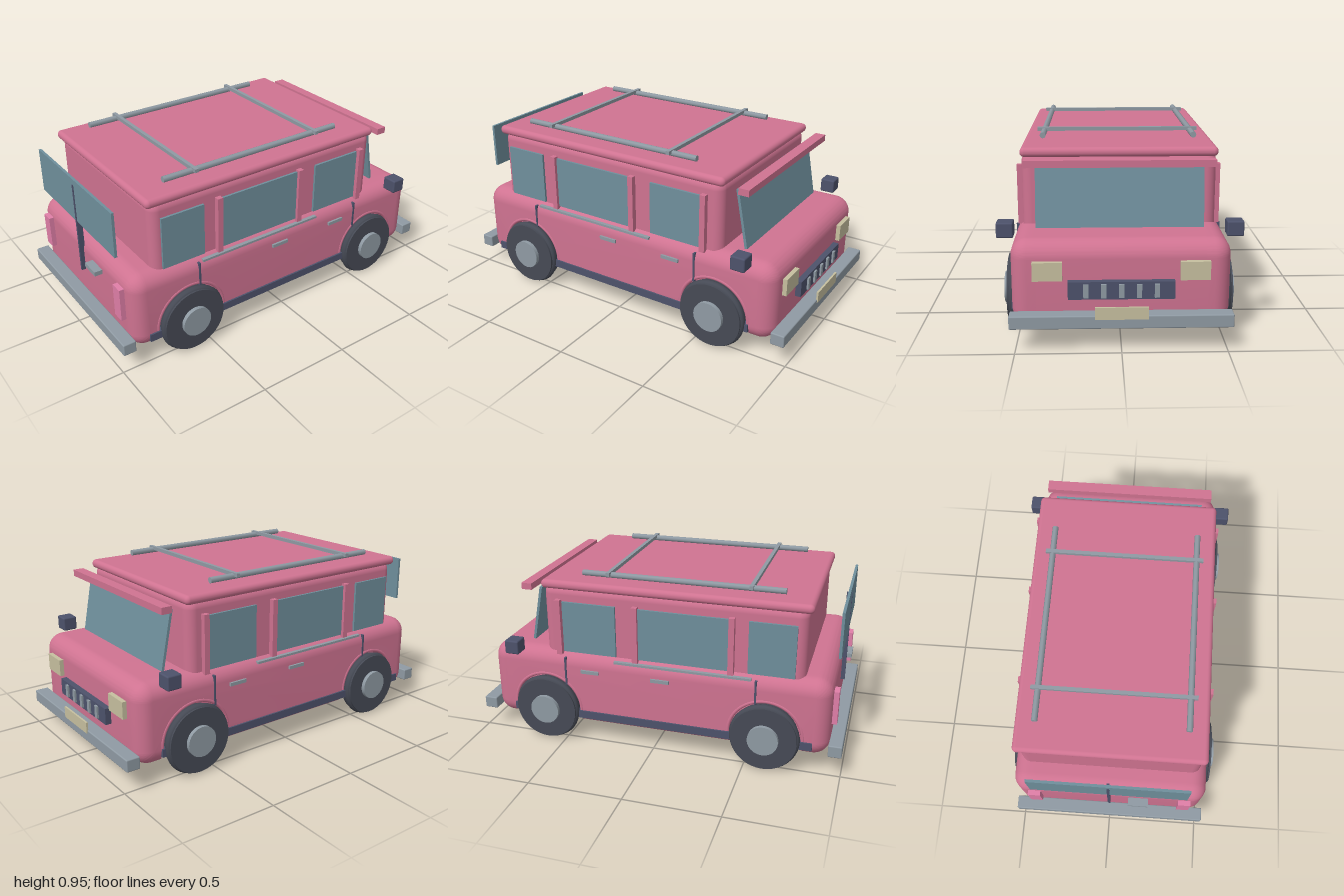
import * as THREE from 'three';
import { toCreasedNormals } from 'three/addons/utils/BufferGeometryUtils.js';
import { RoundedBoxGeometry } from 'three/addons/geometries/RoundedBoxGeometry.js';

const mat = (color) => new THREE.MeshStandardMaterial({ color });
const paint = mat(0xcf7391), glass = mat(0x6f8f9c), dark = mat(0x4d526b), tyreMat = mat(0x464a55);
const metal = mat(0x8f9aa3), lampMat = mat(0xc6bf9f), tailMat = mat(0xe07fa8);
const WHEELS = [0.605, -0.6], WHEEL_Y = 0.187;

export function createModel() {
  const model = new THREE.Group();
  const add = (name, geometry, material, x = 0, y = 0, z = 0) => {
    const mesh = new THREE.Mesh(geometry, material);
    mesh.name = name;
    mesh.position.set(x, y, z);
    model.add(mesh);
    return mesh;
  };
  // box given by its limits on each axis; a radius rounds it
  const box = (name, material, [x0, x1], [y0, y1], [z0, z1], r = 0) => {
    const size = [x1 - x0, y1 - y0, z1 - z0];
    const g = r ? new RoundedBoxGeometry(...size, 5, r) : new THREE.BoxGeometry(...size);
    return add(name, g, material, (x0 + x1) / 2, (y0 + y1) / 2, (z0 + z1) / 2);
  };
  const sides = (name, material, [x0, x1], ys, zs, r) => {
    box(name + 'Left', material, [x0, x1], ys, zs, r);
    box(name + 'Right', material, [-x1, -x0], ys, zs, r);
  };

  // lower body: a plain core with side slabs that carry the wheel wells
  const core = new THREE.ExtrudeGeometry(bodyProfile(0, false), { depth: 0.82, bevelEnabled: false, curveSegments: 10 });
  core.translate(0, 0, -0.41).rotateY(-Math.PI / 2);
  add('bodyCore', toCreasedNormals(core, 0.6), paint);
  const slab = bodySide();
  add('bodySideLeft', slab, paint);
  add('bodySideRight', slab.clone().rotateY(Math.PI), paint).scale.z = -1;

  // cabin and roof
  box('cabin', paint, [-0.482, 0.482], [0.42, 0.88], [-0.61, 0.79], 0.05);
  box('roof', paint, [-0.488, 0.488], [0.857, 0.905], [-0.62, 0.812], 0.023);

  // roof rack
  for (const x of [-0.385, 0.385]) {
    add('rackRail', new THREE.CylinderGeometry(0.016, 0.016, 1.075, 8).rotateX(Math.PI / 2), metal, x, 0.932, 0.123);
  }
  for (const z of [0.49, -0.265]) box('rackBar', metal, [-0.421, 0.421], [0.932, 0.951], [z - 0.01, z + 0.01]);

  // side windows and pillars
  for (const [z0, z1] of [[0.5, 0.74], [-0.08, 0.405], [-0.5, -0.205]]) {
    sides('sideWindow', glass, [0.475, 0.494], [0.515, 0.795], [z0, z1]);
  }
  for (const z of [0.415, -0.095, -0.52]) sides('pillar', paint, [0.475, 0.51], [0.5, 0.806], [z - 0.015, z + 0.015]);

  // side trim, seams, handles and sills
  sides('beltTrim', metal, [0.49, 0.518], [0.485, 0.497], [-0.21, 0.525]);
  for (const z of [0.55, -0.485]) sides('doorSeam', dark, [0.505, 0.524], [0.33, 0.49], [z - 0.005, z + 0.005]);
  for (const z of [0.045, -0.345]) sides('doorHandle', metal, [0.51, 0.531], [0.412, 0.43], [z - 0.05, z + 0.05]);
  sides('sill', dark, [0.495, 0.529], [0.143, 0.185], [-0.8, 0.85]);
  sides('mirror', dark, [0.51, 0.592], [0.505, 0.58], [-0.8, -0.722], 0.008);

  // windscreen and sun visor
  const screen = add('windscreen', new THREE.BoxGeometry(0.82, 0.31, 0.014), glass, 0, 0.682, -0.685);
  screen.rotation.x = 0.19;
  box('sunVisor', paint, [-0.46, 0.46], [0.832, 0.867], [-0.742, -0.685]);

  // nose
  sides('headlight', lampMat, [0.275, 0.415], [0.34, 0.43], [-0.945, -0.9]);
  box('grille', dark, [-0.25, 0.25], [0.252, 0.338], [-0.953, -0.9]);
  for (let i = -2; i <= 2; i++) {
    box('grilleSlat', metal, [i * 0.083 - 0.012, i * 0.083 + 0.012], [0.262, 0.328], [-0.963, -0.94]);
  }
  box('frontBumper', metal, [-0.525, 0.525], [0.122, 0.187], [-0.995, -0.922], 0.006);
  box('frontPlate', lampMat, [-0.125, 0.125], [0.17, 0.23], [-1, -0.99]);

  // tail
  box('rearWindow', glass, [-0.41, 0.41], [0.615, 0.857], [0.937, 0.951]);
  box('rearSeam', dark, [-0.007, 0.007], [0.32, 0.825], [0.925, 0.954]);
  sides('tailLight', tailMat, [0.374, 0.441], [0.267, 0.447], [0.91, 0.958]);
  box('rearHandle', metal, [0.104, 0.212], [0.405, 0.429], [0.92, 0.975]);
  box('rearBumper', metal, [-0.525, 0.525], [0.122, 0.187], [0.93, 1], 0.006);

  // wheels and arch trims
  for (const s of [1, -1]) for (const z of WHEELS) {
    const disc = (r, w) => new THREE.CylinderGeometry(r, r, w, 40).rotateZ(Math.PI / 2);
    add('tyre', disc(0.172, 0.066), tyreMat, s * 0.523, WHEEL_Y, z);
    add('tyreTread', new THREE.TorusGeometry(0.162, 0.022, 10, 40).rotateY(Math.PI / 2), tyreMat, s * 0.528, WHEEL_Y, z);
    add('hub', disc(0.08, 0.05), metal, s * 0.552, WHEEL_Y, z);
    add('archTrim', new THREE.TorusGeometry(0.195, 0.01, 8, 28, Math.PI).rotateY(Math.PI / 2), paint, s * 0.514, WHEEL_Y, z);
  }
  return model;
}

// side outline of the lower body in (z, y), shrunk by inset, with or without wheel wells
function bodyProfile(inset, wells) {
  const z0 = -0.922 + inset, z1 = 0.932 - inset, y0 = 0.1 + inset, y1 = 0.522 - inset;
  const r = 0.085 - inset, R = 0.2, q = Math.PI / 2;
  const shape = new THREE.Shape();
  shape.moveTo(z0 + r, y0);
  if (wells) {
    const a = Math.asin((WHEEL_Y - y0) / R);
    for (const c of [...WHEELS].reverse()) shape.absarc(c, WHEEL_Y, R, Math.PI + a, -a, true);
  }
  shape.absarc(z1 - r, y0 + r, r, -q, 0);
  shape.absarc(z1 - r, y1 - r, r, 0, q);
  shape.absarc(z0 + r, y1 - r, r, q, 2 * q);
  shape.absarc(z0 + r, y0 + r, r, 2 * q, 3 * q);
  return shape;
}

// side slab: outlines lofted from the core out to a rounded edge, closed by a flat face
function bodySide() {
  const r = 0.08, outer = 0.52, stations = [[0.4, 0]];
  for (let i = 0; i <= 8; i++) {
    const a = (i / 8) * Math.PI / 2;
    stations.push([outer - r + r * Math.sin(a), r * (1 - Math.cos(a))]);
  }
  const rings = stations.map(([x, d]) => bodyProfile(d, true).getPoints(14).map((p) => [x, p.y, p.x]));
  const pos = [], n = Math.min(...rings.map((k) => k.length));
  for (let i = 0; i < rings.length - 1; i++) for (let j = 0; j < n; j++) {
    const k = (j + 1) % n, A = rings[i][j], B = rings[i][k], C = rings[i + 1][k], D = rings[i + 1][j];
    pos.push(...A, ...D, ...B, ...B, ...D, ...C);
  }
  const last = rings[rings.length - 1];
  const flat = last.map((p) => new THREE.Vector2(p[2], p[1]));
  for (const [a, b, c] of THREE.ShapeUtils.triangulateShape(flat, [])) pos.push(...last[a], ...last[c], ...last[b]);
  const g = new THREE.BufferGeometry();
  g.setAttribute('position', new THREE.Float32BufferAttribute(pos, 3));
  return toCreasedNormals(g, 0.6);
}
